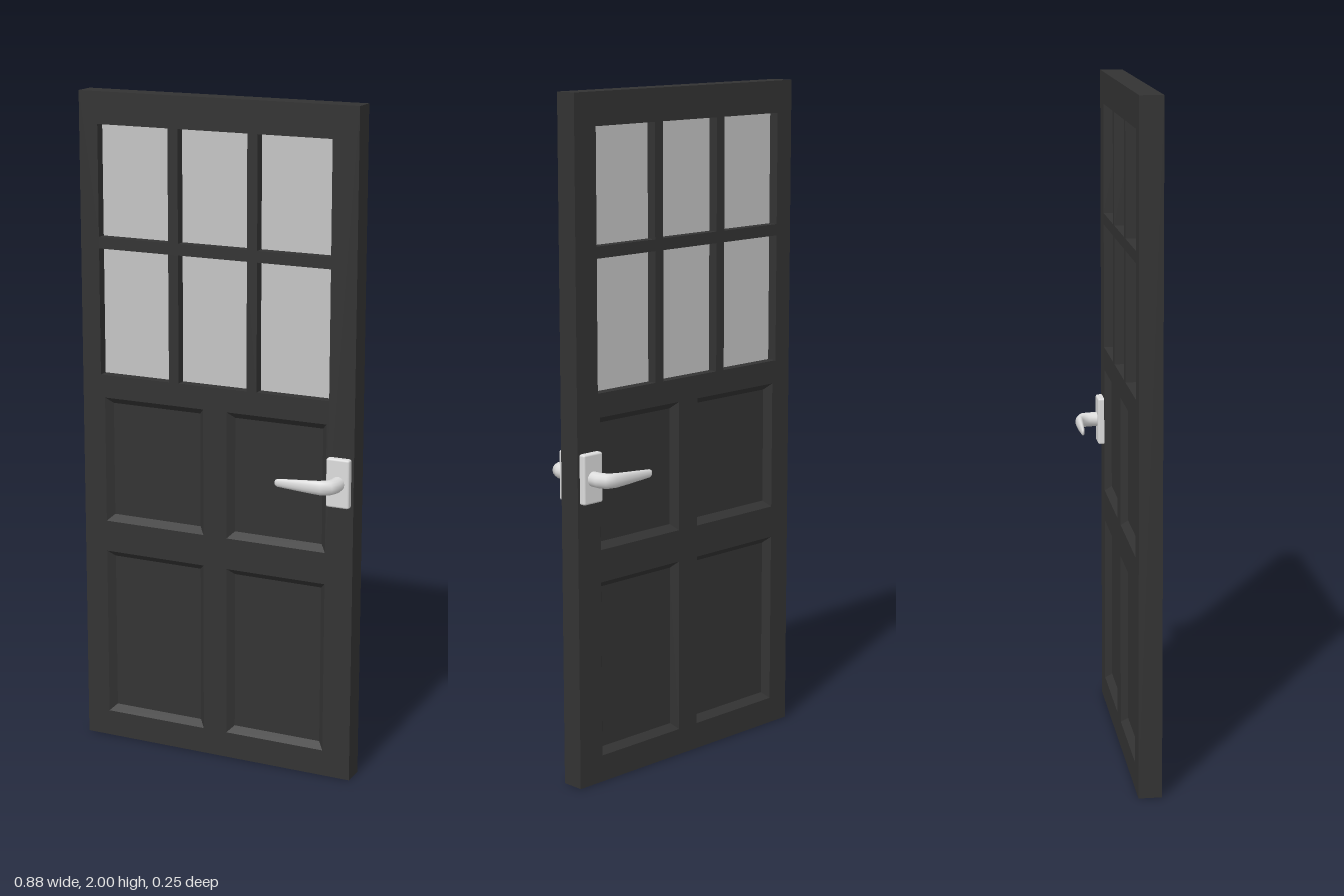
import * as THREE from 'three';
import { RoundedBoxGeometry } from 'three/addons/geometries/RoundedBoxGeometry.js';

const HALF = 0.034; // half the door thickness

// Tapered lever: oval rings between outer and inner [x, z] edge points
function leverGeometry() {
  const rings = [ // outer x, z, inner x, z, half height, y shift
    [0.419, 0.04, 0.376, 0.04, 0.022, 0],
    [0.419, 0.082, 0.376, 0.078, 0.022, 0],
    [0.405, 0.111, 0.37, 0.091, 0.022, 0],
    [0.372, 0.123, 0.355, 0.1, 0.021, 0],
    [0.32, 0.123, 0.315, 0.103, 0.018, 0],
    [0.236, 0.12, 0.236, 0.109, 0.012, 0],
    [0.229, 0.118, 0.229, 0.111, 0.008, 0],
    [0.228, 0.115, 0.228, 0.115, 0, 0],
  ];
  const n = 14, pos = [], index = [];
  rings.forEach(([ox, oz, ix, iz, h, dy], i) => {
    for (let j = 0; j < n; j++) {
      const a = j / n * Math.PI * 2, c = Math.cos(a) / 2;
      pos.push((ox + ix) / 2 + c * (ox - ix), dy + Math.sin(a) * h, (oz + iz) / 2 + c * (oz - iz));
      if (i === rings.length - 1) continue;
      const k = (j + 1) % n, p = i * n, q = p + n;
      index.push(p + j, p + k, q + k, p + j, q + k, q + j);
    }
  });
  const g = new THREE.BufferGeometry();
  g.setAttribute('position', new THREE.Float32BufferAttribute(pos, 3));
  g.setIndex(index);
  g.computeVertexNormals();
  return g;
}

// Recessed panel face: sloped border running in to a flat field
function panelGeometry(w, h, border, depth) {
  const corners = (x, y, z) => [[-x, -y, z], [x, -y, z], [x, y, z], [-x, y, z]];
  const o = corners(w / 2, h / 2, HALF);
  const n = corners(w / 2 - border, h / 2 - border, HALF - depth);
  const pos = [];
  const quad = (a, b, c, d) => pos.push(...a, ...b, ...c, ...a, ...c, ...d);
  for (let i = 0; i < 4; i++) {
    const k = (i + 1) % 4;
    quad(o[i], o[k], n[k], n[i]);
  }
  quad(...n);
  const g = new THREE.BufferGeometry();
  g.setAttribute('position', new THREE.Float32BufferAttribute(pos, 3));
  g.computeVertexNormals();
  return g;
}

export function createModel() {
  const paint = new THREE.MeshStandardMaterial({ color: 0x333333 });
  paint.name = 'charcoal paint';
  const glass = new THREE.MeshStandardMaterial({ color: 0xc4c4c4 });
  glass.name = 'pale glass';
  const metal = new THREE.MeshStandardMaterial({ color: 0xdcdcdc });
  metal.name = 'satin metal';

  const model = new THREE.Group();
  model.name = 'door';
  const add = (name, geometry, material, parent = model) => {
    const mesh = new THREE.Mesh(geometry, material);
    mesh.name = name;
    parent.add(mesh);
    return mesh;
  };

  // Openings as columns [x0, x1] and rows [y0, y1]
  const grid = (cols, rows) => rows.flatMap(r => cols.map(c => [...c, ...r]));
  const windows = grid([[-0.38, -0.152], [-0.12, 0.1], [0.132, 0.36]], [[1.573, 1.905], [1.157, 1.539]]);
  const panels = grid([[-0.367, -0.04], [0.036, 0.353]], [[0.7, 1.087], [0.08, 0.604]]);

  // Door frame with all openings cut through
  const rect = (Type, [x0, x1, y0, y1]) => new Type([[x0, y0], [x1, y0], [x1, y1], [x0, y1]]
    .map(p => new THREE.Vector2(...p)));
  const outline = rect(THREE.Shape, [-0.44, 0.44, 0, 2]);
  outline.holes = [...windows, ...panels].map(r => rect(THREE.Path, r));
  const frame = new THREE.ExtrudeGeometry(outline, { depth: HALF * 2, bevelEnabled: false });
  frame.translate(0, 0, -HALF);
  add('doorFrame', frame, paint);

  // Window panes
  for (const [x0, x1, y0, y1] of windows) {
    add('windowPane', new THREE.BoxGeometry(x1 - x0, y1 - y0, 0.008), glass)
      .position.set((x0 + x1) / 2, (y0 + y1) / 2, 0);
  }

  // Recessed panels on both faces
  for (const [x0, x1, y0, y1] of panels) {
    for (const turn of [0, Math.PI]) {
      const panel = add(turn ? 'backPanel' : 'frontPanel', panelGeometry(x1 - x0, y1 - y0, 0.019, 0.02), paint);
      panel.position.set((x0 + x1) / 2, (y0 + y1) / 2, 0);
      panel.rotation.y = turn;
    }
  }

  // Handle on each face
  for (const turn of [0, Math.PI]) {
    const handle = new THREE.Group();
    handle.name = turn ? 'backHandle' : 'frontHandle';
    add('handlePlate', new RoundedBoxGeometry(0.072, 0.146, 0.03, 2, 0.006), metal, handle)
      .position.set(0.396, 0, 0.038);
    add('lever', leverGeometry(), metal, handle);
    handle.position.y = 0.92;
    handle.rotation.x = turn;
    model.add(handle);
  }
  return model;
}
